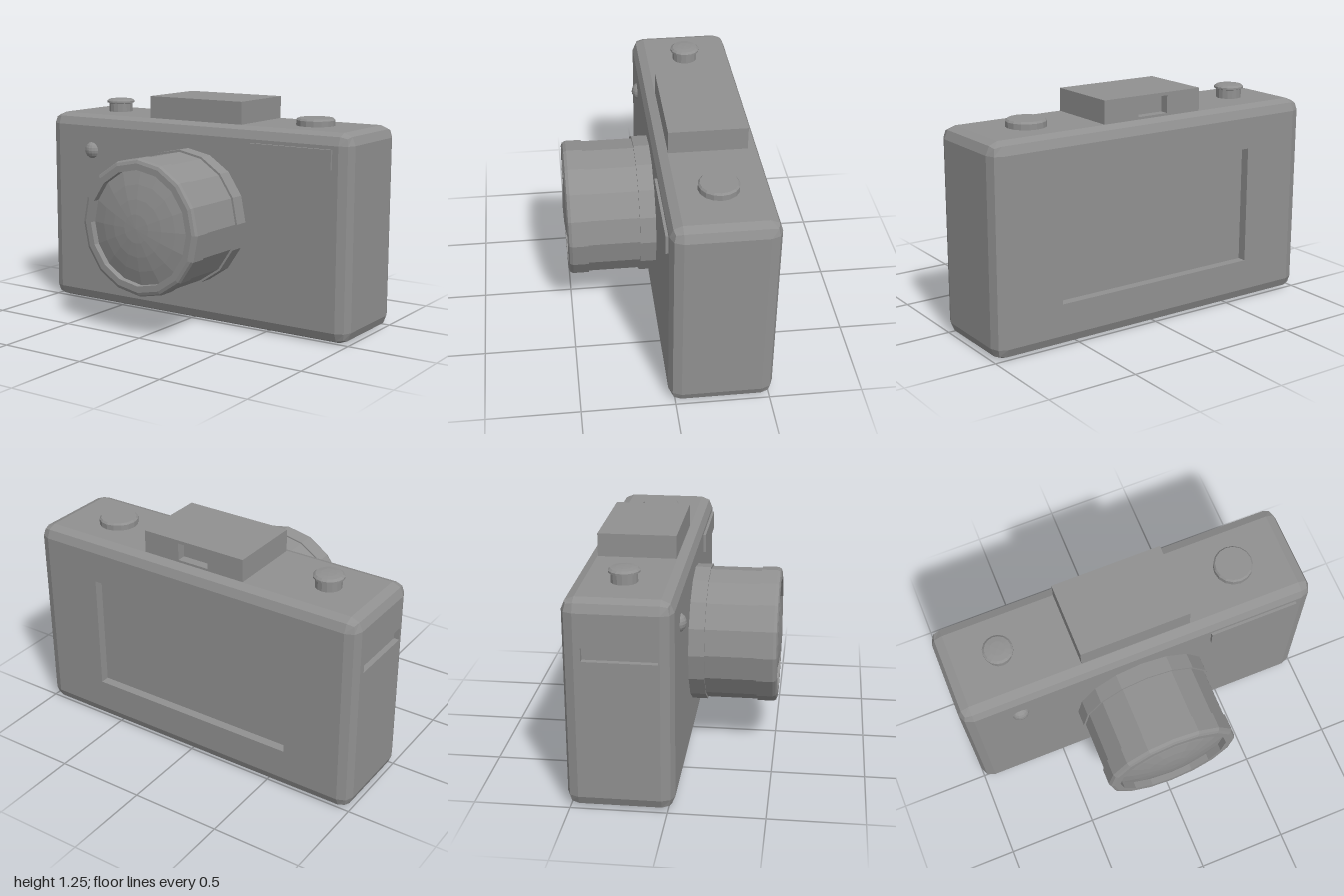
import * as THREE from 'three';
import { mergeGeometries } from 'three/addons/utils/BufferGeometryUtils.js';
import { RoundedBoxGeometry } from 'three/addons/geometries/RoundedBoxGeometry.js';

// Split every facet so that the shading is flat
function faceted(geo) {
  const g = geo.index ? geo.toNonIndexed() : geo;
  g.deleteAttribute('uv');
  g.clearGroups();
  g.computeVertexNormals();
  return g;
}

// Drop the triangles lying wholly below a limit on one axis (0 = x, 2 = z)
function openSide(geo, axis, limit) {
  const g = geo.index ? geo.toNonIndexed() : geo;
  const p = g.attributes.position;
  const kept = [];
  for (let i = 0; i < p.count; i += 3) {
    const corners = [i, i + 1, i + 2];
    if (corners.every((k) => p.getComponent(k, axis) < limit)) continue;
    corners.forEach((k) => kept.push(p.getX(k), p.getY(k), p.getZ(k)));
  }
  const out = new THREE.BufferGeometry();
  out.setAttribute('position', new THREE.Float32BufferAttribute(kept, 3));
  return out;
}

// Flat panel facing +z with a rectangular pocket sunk into it
function pocketPanel(w, h, pw, ph, depth, px = 0, py = 0) {
  const rect = (target, a, b, x, y) => target
    .moveTo(x - a / 2, y - b / 2).lineTo(x + a / 2, y - b / 2)
    .lineTo(x + a / 2, y + b / 2).lineTo(x - a / 2, y + b / 2).closePath();
  const shape = rect(new THREE.Shape(), w, h, 0, 0);
  shape.holes.push(rect(new THREE.Path(), pw, ph, px, py));
  const pocket = new THREE.BoxGeometry(pw, ph, depth);
  const idx = Array.from(pocket.index.array);
  idx.splice(24, 6); // open the +z face
  pocket.setIndex(idx);
  pocket.scale(-1, 1, 1); // turn the walls inward
  pocket.translate(px, py, -depth / 2);
  return mergeGeometries([faceted(new THREE.ShapeGeometry(shape)), faceted(pocket)]);
}

function lathe(points, sides) {
  return faceted(new THREE.LatheGeometry(points.map(([r, y]) => new THREE.Vector2(r, y)), sides));
}

export function createModel() {
  const grey = new THREE.MeshStandardMaterial({ color: 0x909090 });
  grey.name = 'grey';
  const model = new THREE.Group();
  model.name = 'compactCamera';

  const add = (name, geo, x, y, z, parent = model) => {
    const mesh = new THREE.Mesh(geo, grey);
    mesh.name = name;
    mesh.position.set(x, y, z);
    parent.add(mesh);
    return mesh;
  };

  // Body with bevelled edges, open at the back and the right side
  const W = 2, H = 1.125, D = 0.555, R = 0.065, midY = H / 2, midZ = -0.243;
  let shell = new RoundedBoxGeometry(W, H, D, 1, R);
  shell = openSide(shell, 2, -D / 2 + 0.001);
  shell = openSide(shell, 0, -W / 2 + 0.001);
  add('body', faceted(shell), 0, midY, midZ);

  // Back panel with sunken screen
  add('backScreen', pocketPanel(W - 2 * R, H - 2 * R, 1.22, 0.65, 0.05),
    0, midY, midZ - D / 2).rotation.y = Math.PI;

  // Side panel with card slot
  add('sideSlot', pocketPanel(D - 2 * R, H - 2 * R, 0.38, 0.07, 0.03, 0.013, 0.283),
    -W / 2, midY, midZ).rotation.y = -Math.PI / 2;

  // Viewfinder hump with rear eyepiece
  const hump = new THREE.Group();
  hump.name = 'viewfinder';
  hump.position.set(-0.002, 1.185, -0.243);
  model.add(hump);
  const humpBox = openSide(new THREE.BoxGeometry(0.614, 0.13, 0.42), 2, -0.209);
  add('viewfinderHousing', faceted(humpBox), 0, 0, 0, hump);
  add('viewfinderEyepiece', pocketPanel(0.614, 0.13, 0.185, 0.095, 0.05),
    0, 0, -0.21, hump).rotation.y = Math.PI;

  // Lens barrel: rear flange, tube, front ring and inner lip
  const lens = new THREE.Group();
  lens.name = 'lens';
  lens.position.set(0, 0.603, 0);
  lens.rotation.x = Math.PI / 2;
  model.add(lens);
  add('lensBarrel', lathe([
    [0.379, 0.02], [0.379, 0.12], [0.367, 0.12], [0.367, 0.4], [0.375, 0.4],
    [0.375, 0.487], [0.367, 0.503], [0.35, 0.51], [0.315, 0.51], [0.315, 0.465],
  ], 16), 0, 0, 0, lens);

  // Shallow glass dome
  const dome = [];
  for (let i = 0; i <= 4; i++) {
    const r = 0.316 * (1 - i / 4);
    dome.push([r, 0.522 - r * r / 2]);
  }
  add('lensGlass', lathe(dome, 16), 0, 0, 0, lens);

  // Shutter button on a stem
  add('shutterButton', lathe([
    [0.07, 1.11], [0.07, 1.174], [0.082, 1.178], [0.082, 1.188],
    [0.07, 1.198], [0.04, 1.202], [0, 1.203],
  ], 16), -0.69, 0, -0.248);

  // Top dial
  add('topDial', lathe([
    [0.107, 1.11], [0.107, 1.155], [0.098, 1.165], [0, 1.165],
  ], 16), 0.647, 0, -0.248);

  // Front lamp and flash window
  add('frontLamp', faceted(new THREE.SphereGeometry(0.053, 16, 10)), -0.69, 0.917, 0.012);
  add('flashWindow', faceted(new THREE.BoxGeometry(0.495, 0.105, 0.03)), 0.653, 0.988, 0.034);

  return model;
}
